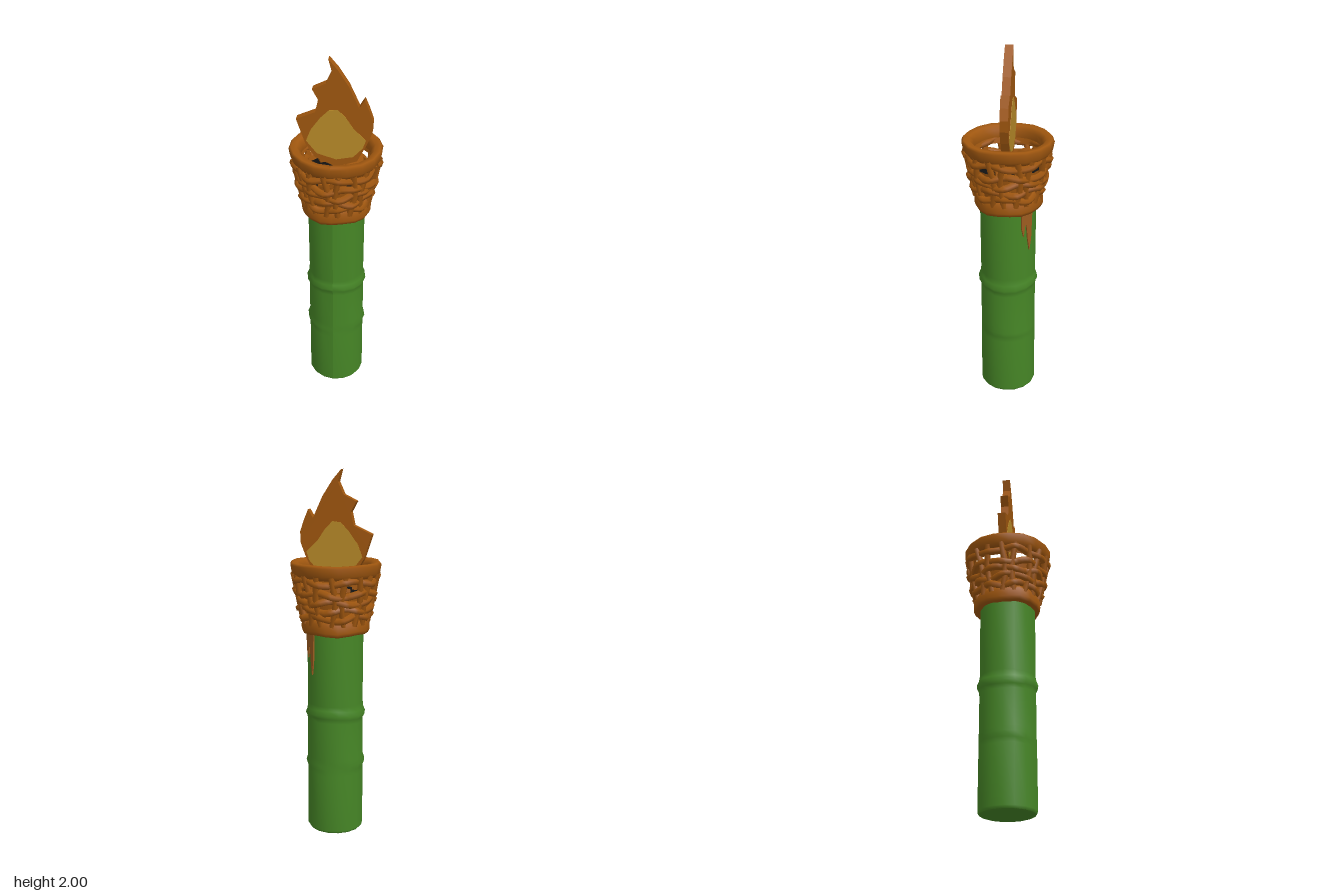
import * as THREE from 'three';

const mat = (name, color) => {
  const m = new THREE.MeshStandardMaterial({ color, side: THREE.DoubleSide });
  m.name = name;
  return m;
};
const V2 = (p) => p.map(([x, y]) => new THREE.Vector2(x, y));

export function createModel() {
  const group = new THREE.Group();
  const green = mat('bamboo green', 0x468626);
  const brown = mat('woven brown', 0xa0570f);
  const drip = mat('drip brown', 0x9c5c20);
  const yellow = mat('flame yellow', 0xb88a28);
  const black = mat('charcoal', 0x121212);

  const add = (name, geo, material, parent = group) => {
    const m = new THREE.Mesh(geo, material);
    m.name = name;
    parent.add(m);
    return m;
  };
  // Lathe whose rings can be pushed in and out by a rule
  const lathe = (points, sides, rule) => {
    const g = new THREE.LatheGeometry(V2(points), sides);
    const p = g.attributes.position;
    for (let i = 0; i < p.count; i++) {
      const x = p.getX(i), y = p.getY(i), z = p.getZ(i);
      const r = Math.hypot(x, z);
      if (r < 0.01) continue;
      const [k, dy] = rule(Math.atan2(x, z), y);
      p.setXYZ(i, x * (r + k) / r, y + dy, z * (r + k) / r);
    }
    g.computeVertexNormals();
    return g;
  };

  // Bamboo pole: one full node, and a lower node that swells at the sides
  add('pole', lathe([
    [0.145, 0.005], [0.155, 0.02], [0.154, 0.34], [0.153, 0.37], [0.153, 0.4], [0.153, 0.43],
    [0.153, 0.64], [0.156, 0.665], [0.166, 0.685], [0.156, 0.71], [0.152, 0.74], [0.154, 1.16],
  ], 16, (a, y) => {
    const side = Math.sin(a) ** 2;
    const node = Math.max(0, 1 - Math.abs(y - 0.4) / 0.035);
    return [node * 0.012 * side, Math.abs(y - 0.68) < 0.05 ? 0.008 * Math.cos(2 * a) : 0];
  }), green);
  add('poleBase', lathe([[0, 0], [0.13, 0], [0.146, 0.006]], 16, () => [0, 0]), green);

  // Drips running down the back right of the pole
  const dripShape = new THREE.Shape(V2([
    [-0.038, 1.16], [-0.036, 1.05], [-0.022, 1.0], [-0.012, 1.06], [-0.004, 1.07],
    [0.006, 0.98], [0.018, 0.91], [0.03, 0.97], [0.038, 1.16],
  ]));
  const drips = add('drips', new THREE.ExtrudeGeometry(dripShape,
    { depth: 0.008, bevelEnabled: false }), drip);
  const dripAngle = Math.PI * 0.76;
  drips.rotation.y = dripAngle;
  drips.position.set(Math.sin(dripAngle) * 0.151, 0, Math.cos(dripAngle) * 0.151);

  // Basket
  const basket = new THREE.Group();
  basket.name = 'basket';
  group.add(basket);
  const wobble = (a, y) => [0.004 * Math.sin(3 * a + y * 9), 0.004 * Math.sin(5 * a)];
  add('lowerBand', lathe([
    [0.148, 1.135], [0.178, 1.135], [0.187, 1.155], [0.184, 1.2], [0.17, 1.222], [0.148, 1.215], [0.148, 1.135],
  ], 18, wobble), brown, basket);
  add('rim', lathe([
    [0.188, 1.45], [0.222, 1.44], [0.238, 1.462], [0.246, 1.505], [0.236, 1.517],
    [0.205, 1.514], [0.184, 1.49], [0.188, 1.45],
  ], 18, (a, y) => [0.002 * Math.sin(3 * a), 0.002 * Math.sin(5 * a)]), brown, basket);

  // Inner walls, leaving an open gap in the weave
  const wallRadius = (y) => 0.172 + (y - 1.2) * 0.2;
  for (const [y0, y1] of [[1.17, 1.375], [1.412, 1.47]]) {
    add('innerWall', lathe([[wallRadius(y0) - 0.012, y0], [wallRadius(y1) - 0.012, y1]], 18,
      () => [0, 0]), brown, basket);
  }

  // Strands weaving in and out around upright stakes
  [1.232, 1.275, 1.318, 1.36, 1.425].forEach((y, row) => {
    const pts = [];
    for (let i = 0; i < 36; i++) {
      const a = i / 36 * Math.PI * 2;
      const r = wallRadius(y) + 0.002 + 0.009 * Math.sin(9 * a + row * Math.PI);
      pts.push(new THREE.Vector3(Math.sin(a) * r, y + 0.012 * Math.sin(5 * a + row * 1.9), Math.cos(a) * r));
    }
    add('strand', new THREE.TubeGeometry(new THREE.CatmullRomCurve3(pts, true), 72, 0.02, 5, true), brown, basket);
  });
  for (let i = 0; i < 18; i++) {
    const a = (i + 0.5) / 18 * Math.PI * 2;
    const at = (y, t) => {
      const r = wallRadius(y) + 0.003;
      return new THREE.Vector3(Math.sin(a + t) * r, y, Math.cos(a + t) * r);
    };
    const lean = i % 2 ? 0.1 : -0.08;
    const path = new THREE.CatmullRomCurve3([at(1.19, 0), at(1.32, lean), at(1.46, 0)]);
    add('stake', new THREE.TubeGeometry(path, 6, 0.017, 5), brown, basket);
  }

  // Charcoal bed with a few woody pieces
  add('charcoal', lathe([[0.188, 1.35], [0.1, 1.365], [0, 1.37]], 18, () => [0, 0]), black, basket);
  for (const [x, z, w, d, turn] of [[0.06, -0.085, 0.15, 0.09, 0.15], [-0.06, -0.12, 0.1, 0.05, 0.4],
    [0.12, 0.03, 0.09, 0.05, 0.3], [-0.1, 0.05, 0.025, 0.09, 0.1], [0, 0.165, 0.14, 0.035, 0]]) {
    const chip = add('woodPiece', new THREE.BoxGeometry(w, 0.04, d), brown, basket);
    chip.position.set(x, 1.37, z);
    chip.rotation.set(0.1, turn, 0.08);
  }

  // Flat flame with a yellow heart on both faces
  const flame = new THREE.Group();
  flame.name = 'flame';
  group.add(flame);
  const outer = new THREE.Shape(V2([
    [-0.037, 2], [-0.02, 1.935], [-0.05, 1.87], [-0.12, 1.835], [-0.09, 1.78], [-0.105, 1.71],
    [-0.205, 1.665], [-0.182, 1.595], [-0.16, 1.53], [-0.11, 1.45], [0, 1.4], [0.11, 1.44],
    [0.16, 1.54], [0.187, 1.61], [0.19, 1.67], [0.17, 1.73], [0.145, 1.79], [0.118, 1.745],
    [0.065, 1.86], [0.01, 1.945],
  ]));
  add('outerFlame', new THREE.ExtrudeGeometry(outer, { depth: 0.044, bevelEnabled: false }),
    brown, flame).position.z = -0.024;
  const heart = new THREE.Shape(V2([
    [-0.035, 1.725], [0.01, 1.73], [0.05, 1.69], [0.09, 1.63], [0.155, 1.565], [0.14, 1.52],
    [0.09, 1.465], [0, 1.445], [-0.1, 1.475], [-0.155, 1.545], [-0.13, 1.61], [-0.08, 1.68],
  ]));
  for (const z of [0.018, -0.026]) {
    add('flameHeart', new THREE.ExtrudeGeometry(heart, { depth: 0.004, bevelEnabled: false }),
      yellow, flame).position.z = z;
  }
  return group;
}
